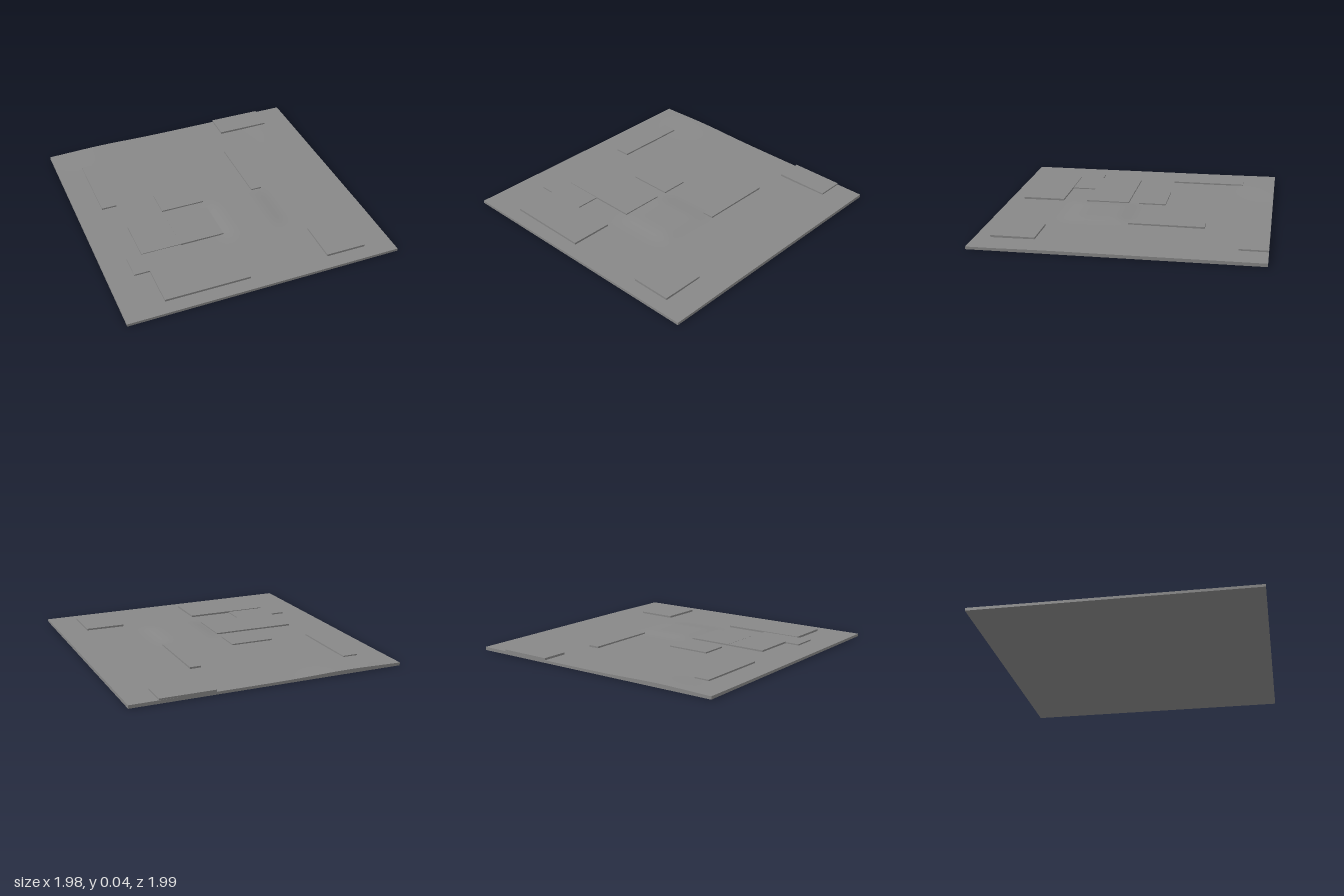
import * as THREE from 'three';

const material = new THREE.MeshStandardMaterial({ color: 0x888888 });
const smooth = THREE.MathUtils.smoothstep;

// Soft-edged plateau between a and b, falling off over width w
const band = (v, a, b, w) => smooth(v, a - w, a) * (1 - smooth(v, b, b + w));

// Height of the ground surface
function groundHeight(x, z) {
  const hill = 0.012 * band(x, 0.02, 0.28, 0.14) * band(z, 0.12, 0.36, 0.16);
  const backRise = 0.01 * Math.exp(-((x + 0.58) ** 2 / 0.1 + (z + 1) ** 2 / 0.08));
  const middle = 0.005 * (1 - smooth(Math.hypot(x, z), 0.2, 1));
  const rightSide = 0.004 * smooth(x, 0.5, 0.8) * (1 - smooth(z, 0.4, 0.9));
  return 0.019 + hill + backRise + middle + rightSide;
}

// Thin slab: flat below, gently rolling on top, with a slightly turned outline
function createGround() {
  const geometry = new THREE.BoxGeometry(1.975, 1, 1.985, 50, 1, 50);
  const p = geometry.attributes.position;
  for (let i = 0; i < p.count; i++) {
    const x = p.getX(i), z = p.getZ(i);
    const y = p.getY(i) > 0 ? groundHeight(x, z) : 0;
    p.setXYZ(i, x + 0.005 * z, y, z - 0.005 * x);
  }
  geometry.computeVertexNormals();
  const mesh = new THREE.Mesh(geometry, material);
  mesh.name = 'ground';
  return mesh;
}

// Flat block spanning x0..x1 and z0..z1, set into the ground
function createBlock(name, x0, x1, z0, z1, top) {
  const bottom = 0.005;
  const mesh = new THREE.Mesh(new THREE.BoxGeometry(x1 - x0, top - bottom, z1 - z0), material);
  mesh.position.set((x0 + x1) / 2, (top + bottom) / 2, (z0 + z1) / 2);
  mesh.name = name;
  return mesh;
}

export function createModel() {
  const group = new THREE.Group();
  group.name = 'siteModel';
  group.add(createGround());

  // Building blocks: name, x range, z range, top height
  const blocks = [
    ['longBlockLeft', -0.8, -0.69, -0.74, -0.19, 0.031],
    ['smallBlock', -0.4, -0.08, -0.2, 0, 0.033],
    ['centreBlockWest', -0.69, -0.4, 0.08, 0.4, 0.033],
    ['centreBlockEast', -0.4, -0.08, 0.08, 0.4, 0.034],
    ['linkBlock', -0.8, -0.4, 0.4, 0.58, 0.029],
    ['frontBlock', -0.69, -0.08, 0.58, 0.89, 0.034],
    ['cornerBlock', 0.5, 0.79, 0.57, 0.88, 0.034],
    ['backBlock', 0.39, 0.78, -0.995, -0.8, 0.034],
    ['longBlockRight', 0.31, 0.39, -0.54, 0, 0.034],
  ];
  for (const b of blocks) group.add(createBlock(...b));
  return group;
}
